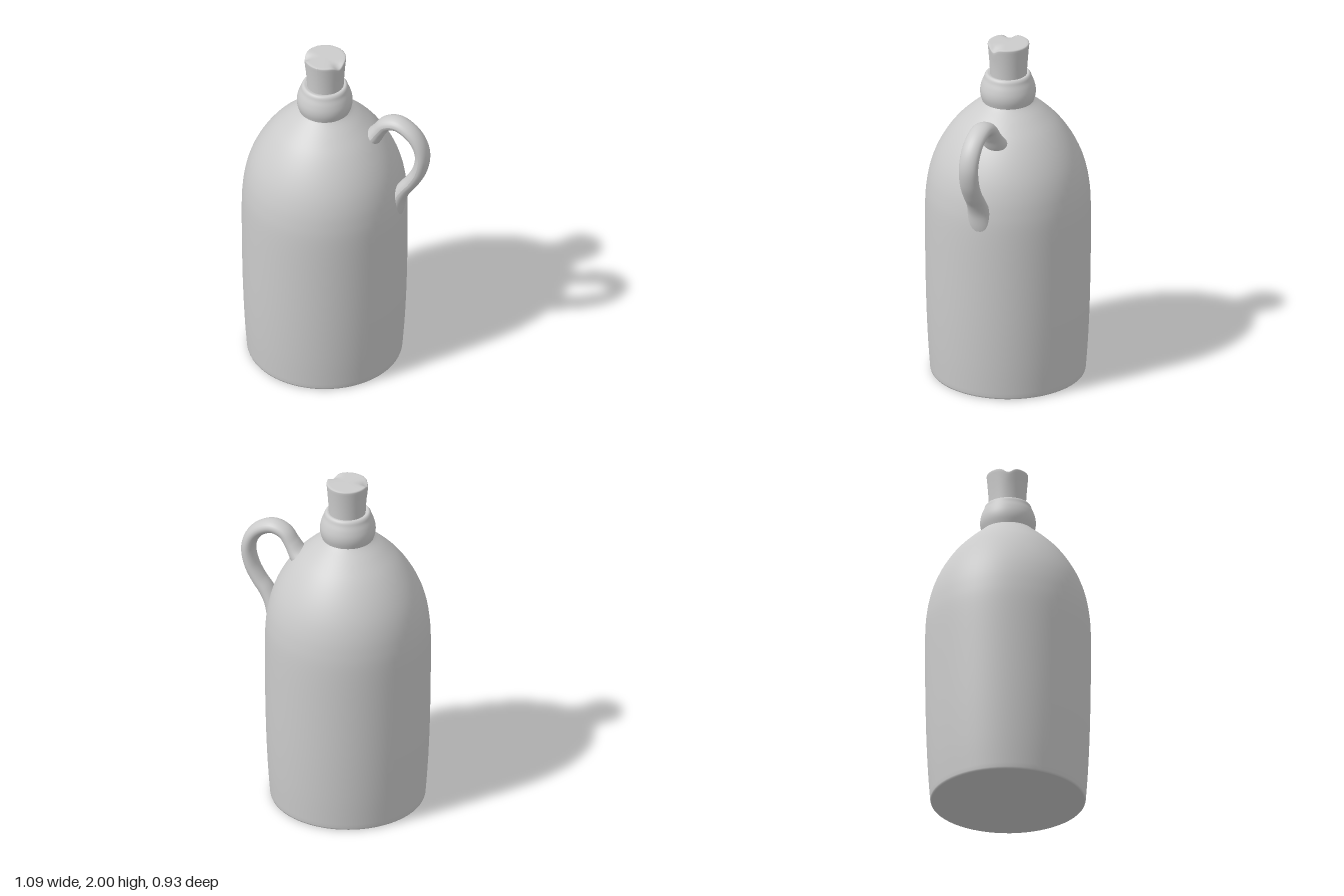
import * as THREE from 'three';

const CX = -0.085; // axis of the jug; the handle sticks out to +x
const material = new THREE.MeshStandardMaterial({ color: 0xcccccc });

function part(name, geometry, x = 0, z = 0) {
  const mesh = new THREE.Mesh(geometry, material);
  mesh.name = name;
  mesh.position.set(x, 0, z);
  return mesh;
}

const toPoints = (pairs) => pairs.map(([x, y]) => new THREE.Vector2(x, y));
const smooth = (pairs, n) => new THREE.SplineCurve(toPoints(pairs)).getPoints(n);

// Flat base, nearly straight wall and domed shoulder
function makeBody() {
  const base = toPoints([[0, 0], [0.3, 0], [0.425, 0], [0.431, 0.003]]);
  const wall = smooth([
    [0.434, 0.012], [0.447, 0.2], [0.457, 0.45], [0.462, 0.75], [0.462, 1.02], [0.452, 1.15],
    [0.432, 1.25], [0.4, 1.34], [0.352, 1.43], [0.29, 1.515], [0.215, 1.59], [0.15, 1.645], [0.13, 1.67],
  ], 60);
  return new THREE.LatheGeometry([...base, ...wall], 64);
}

// Bulging collar with a narrower lip, closed around the stopper
function makeCollar() {
  const outside = smooth([
    [0.135, 1.62], [0.143, 1.645], [0.154, 1.685], [0.155, 1.72], [0.147, 1.755],
    [0.135, 1.785], [0.128, 1.805], [0.117, 1.815], [0.1, 1.812],
  ], 36);
  return new THREE.LatheGeometry(outside, 64);
}

// Tapered stopper with two worn chips in its top rim
function makeStopper() {
  const profile = toPoints([
    [0.102, 1.78], [0.104, 1.84], [0.108, 1.9], [0.112, 1.95], [0.115, 1.98], [0.116, 1.992],
    [0.115, 1.997], [0.111, 2], [0.1, 2], [0.085, 2], [0.065, 2], [0.035, 2], [0, 2],
  ]);
  const geometry = new THREE.LatheGeometry(profile, 64);
  const pos = geometry.attributes.position;
  const chips = [[-0.105, 0.04], [0.105, 0.045]];
  for (let i = 0; i < pos.count; i++) {
    if (pos.getY(i) < 1.94) continue;
    let drop = 0;
    for (const [x, z] of chips) {
      const d = Math.hypot(pos.getX(i) - x, pos.getZ(i) - z);
      drop += 0.025 * Math.exp(-((d / 0.03) ** 2));
    }
    pos.setY(i, pos.getY(i) - drop);
  }
  geometry.computeVertexNormals();
  return geometry;
}

// Loop handle: oval section, flaring where it joins the shoulder
function makeHandle() {
  const path = new THREE.CatmullRomCurve3([
    [0.13, 1.46, -0.045], [0.19, 1.505, -0.045], [0.232, 1.565, -0.042], [0.275, 1.622, -0.038],
    [0.345, 1.645, -0.035], [0.425, 1.612, -0.03], [0.478, 1.55, -0.027], [0.5, 1.47, -0.025],
    [0.483, 1.37, -0.023], [0.44, 1.285, -0.022], [0.393, 1.22, -0.022], [0.355, 1.15, -0.022],
    [0.325, 1.05, -0.022],
  ].map((p) => new THREE.Vector3(...p)));
  const steps = 96, sides = 24;
  const geometry = new THREE.TubeGeometry(path, steps, 0.04, sides);
  const pos = geometry.attributes.position;
  const v = new THREE.Vector3();
  for (let i = 0; i <= steps; i++) {
    const t = i / steps;
    const centre = path.getPointAt(t);
    const flare = 1 + 0.6 * Math.exp(-((t / 0.09) ** 2)) + 0.35 * Math.exp(-(((1 - t) / 0.12) ** 2));
    for (let j = 0; j <= sides; j++) {
      const k = i * (sides + 1) + j;
      v.fromBufferAttribute(pos, k).sub(centre).multiplyScalar(flare);
      v.z *= 1.42;
      v.add(centre);
      pos.setXYZ(k, v.x, v.y, v.z);
    }
  }
  geometry.computeVertexNormals();
  return geometry;
}

export function createModel() {
  const jug = new THREE.Group();
  jug.name = 'jug';
  jug.add(
    part('body', makeBody(), CX),
    part('collar', makeCollar(), CX),
    part('stopper', makeStopper(), CX + 0.002, -0.004),
    part('handle', makeHandle()),
  );
  return jug;
}
